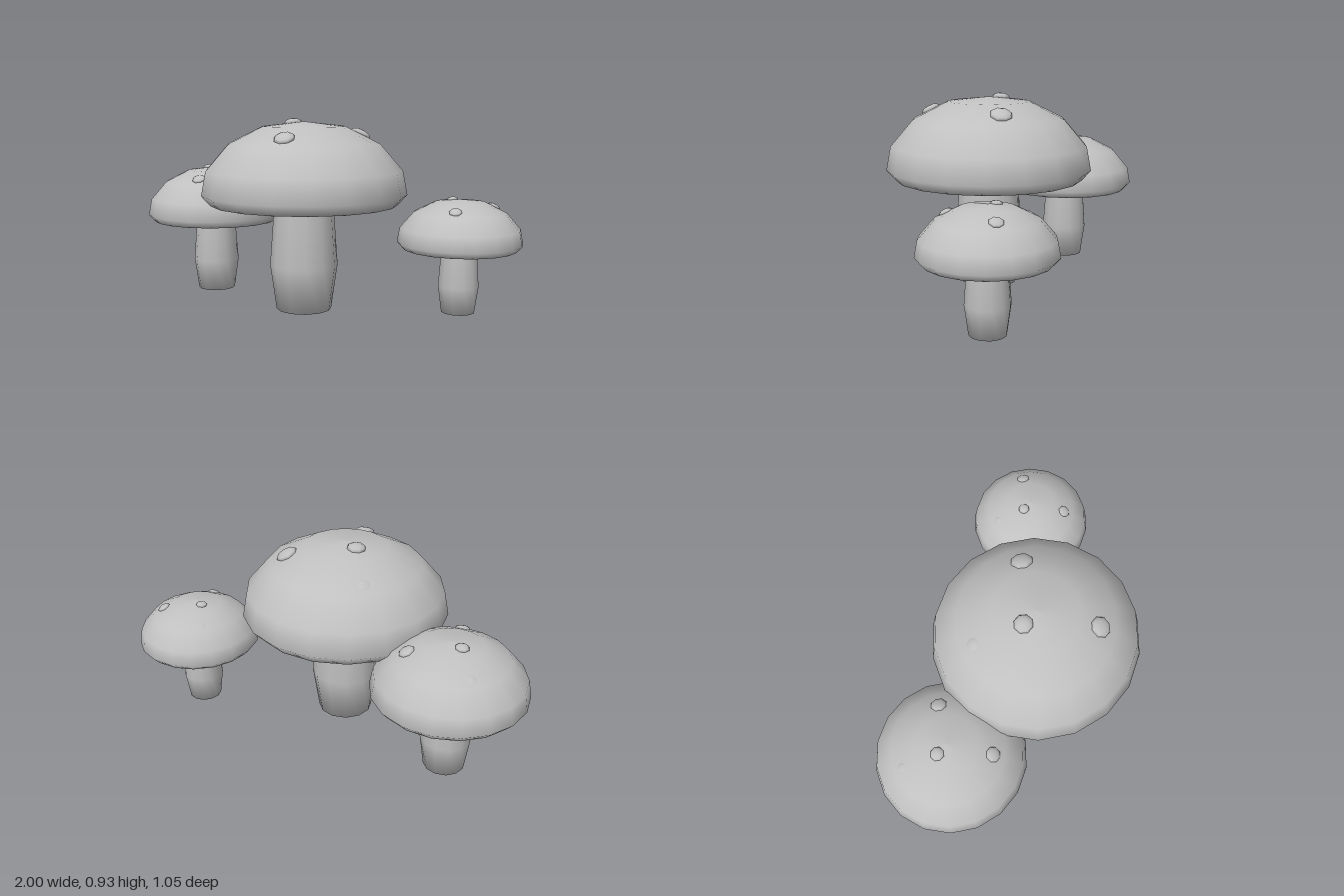
import * as THREE from 'three';

const toPoints = (list) => list.map(([r, y]) => new THREE.Vector2(r, y));

// Profiles of the full-size mushroom, from the bottom up: [radius, height]
const CAP = [[0, 0.521], [0.455, 0.521], [0.499, 0.57], [0.477, 0.685], [0.367, 0.8125], [0.2, 0.896], [0, 0.918]];
const STEM = [[0, 0], [0.135, 0], [0.166, 0.22], [0.144, 0.525]];

// Warts: [x, z, radius, offset along the cap normal]
const WARTS = [
  [-0.075, -0.035, 0.045, 0.002],
  [0.045, 0.287, 0.05, 0],
  [0.233, -0.15, 0.053, 0],
  [-0.215, -0.225, 0.045, -0.017],
];

// Height and tilt of the cap surface at a given radius
function capSurface(r) {
  for (let i = CAP.length - 1; i > 2; i--) {
    const [r0, y0] = CAP[i], [r1, y1] = CAP[i - 1];
    if (r <= r1) {
      const slope = (y1 - y0) / (r1 - r0);
      return { y: y0 + slope * (r - r0), slope };
    }
  }
}

export function createModel() {
  const grey = new THREE.MeshStandardMaterial({ color: 0xc0c0c0 });
  grey.name = 'grey';

  const capGeometry = new THREE.LatheGeometry(toPoints(CAP), 18, Math.PI / 2);
  const stemGeometry = new THREE.LatheGeometry(toPoints(STEM), 12, Math.PI / 2);
  const wartGeometry = new THREE.SphereGeometry(1, 8, 6);
  const up = new THREE.Vector3(0, 1, 0);

  function mushroom(name, x, z, scale) {
    const group = new THREE.Group();
    group.name = name;
    const add = (part, geometry) => {
      const mesh = new THREE.Mesh(geometry, grey);
      mesh.name = part;
      group.add(mesh);
      return mesh;
    };
    add('stem', stemGeometry);
    add('cap', capGeometry);

    // Flattened warts lying on the cap
    WARTS.forEach(([wx, wz, radius, offset], i) => {
      const r = Math.hypot(wx, wz);
      const { y, slope } = capSurface(r);
      const normal = new THREE.Vector3(-slope * wx / r, 1, -slope * wz / r).normalize();
      const wart = add('wart' + (i + 1), wartGeometry);
      wart.scale.set(radius, 0.021, radius);
      wart.quaternion.setFromUnitVectors(up, normal);
      wart.position.set(wx, y, wz).addScaledVector(normal, offset);
    });

    group.position.set(x, 0, z);
    group.scale.setScalar(scale);
    return group;
  }

  const model = new THREE.Group();
  model.name = 'mushrooms';
  model.add(
    mushroom('largeMushroom', -0.002, 0.034, 1),
    mushroom('mediumMushroom', -0.64, -0.17, 0.72),
    mushroom('smallMushroom', 0.7, -0.233, 0.6),
  );
  return model;
}
